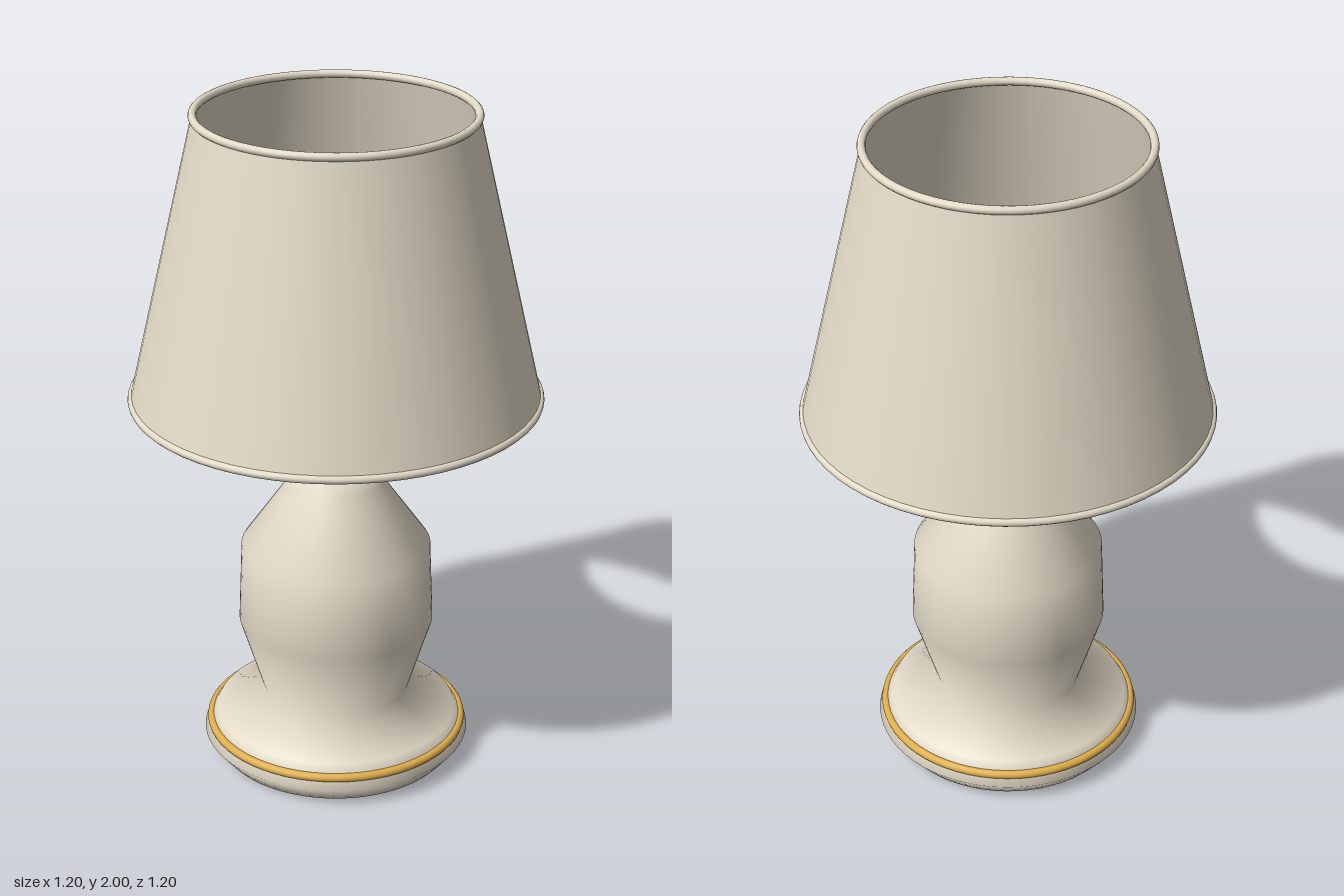
import * as THREE from 'three';

const SEGMENTS = 64;

export function createModel() {
  const lamp = new THREE.Group();
  lamp.name = 'tableLamp';

  const mat = (name, color, side = THREE.FrontSide) => {
    const m = new THREE.MeshStandardMaterial({ color, side });
    m.name = name;
    return m;
  };
  const cream = mat('cream', 0xe3dac7, THREE.DoubleSide);
  const gold = mat('gold', 0xe0ae4c);
  const brass = mat('brass', 0xdab06a);

  const add = (name, geometry, material, y = 0) => {
    const mesh = new THREE.Mesh(geometry, material);
    mesh.name = name;
    mesh.position.y = y;
    lamp.add(mesh);
    return mesh;
  };
  const lathe = (points) =>
    new THREE.LatheGeometry(points.map(([r, y]) => new THREE.Vector2(r, y)), SEGMENTS);
  const ring = (radius, tube) =>
    new THREE.TorusGeometry(radius, tube, 12, SEGMENTS).rotateX(Math.PI / 2);

  // Turned ceramic foot and body
  add('body', lathe([
    [0, 0], [0.355, 0.003], [0.4, 0.058], [0.36, 0.125], [0.22, 0.203],
    [0.29, 0.43], [0.28, 0.675], [0.137, 0.88], [0.125, 0.963], [0, 0.963],
  ]), cream);

  // Gilded band around the foot
  add('baseBand', ring(0.379, 0.013), gold, 0.09);

  // Stem and bulb
  add('stem', new THREE.CylinderGeometry(0.06, 0.06, 0.26, 32), brass, 1.09);
  add('bulb', new THREE.SphereGeometry(0.12, 32, 24), gold, 1.31);

  // Open tapered shade with rolled rims
  add('shade', lathe([[0.592, 1.152], [0.397, 1.988]]), cream);
  add('shadeBottomRim', ring(0.588, 0.012), cream, 1.154);
  add('shadeTopRim', ring(0.395, 0.012), cream, 1.988);

  return lamp;
}
